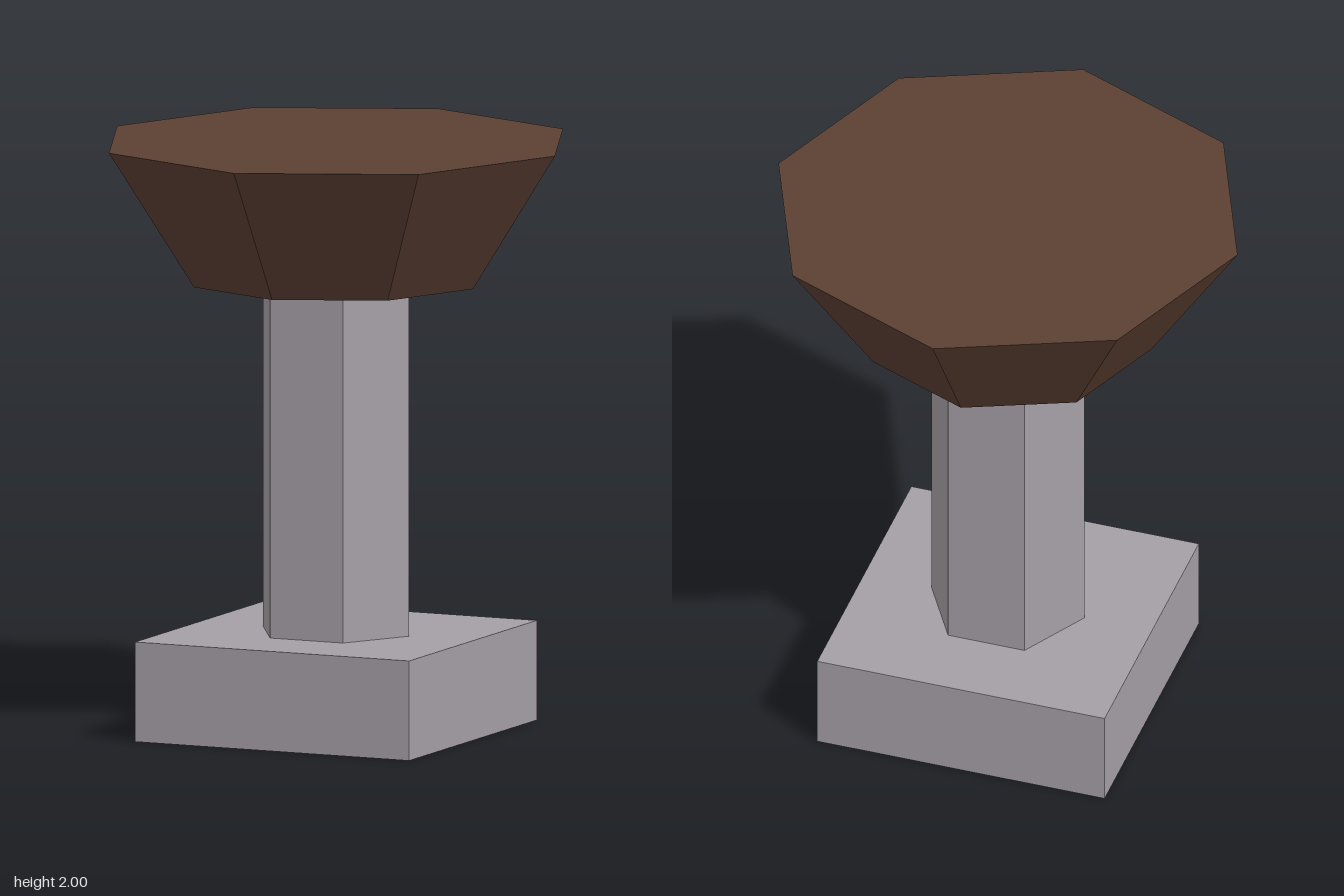
import * as THREE from 'three';

export function createModel() {
  const model = new THREE.Group();
  model.name = 'pedestalTable';

  const stone = new THREE.MeshStandardMaterial({ color: 0xa59fa6, flatShading: true });
  stone.name = 'grey stone';
  const wood = new THREE.MeshStandardMaterial({ color: 0x5c4033, flatShading: true });
  wood.name = 'dark brown wood';

  // Adds a part standing between two heights
  const add = (name, geometry, material, bottom, top) => {
    const mesh = new THREE.Mesh(geometry, material);
    mesh.name = name;
    mesh.position.y = (bottom + top) / 2;
    model.add(mesh);
  };

  const baseTop = 0.338, columnTop = 1.53, height = 2;

  // Square plinth
  add('base', new THREE.BoxGeometry(1.014, baseTop, 1.014), stone, 0, baseTop);

  // Six-sided column with corners on the x axis
  add('column',
    new THREE.CylinderGeometry(0.27, 0.27, columnTop - baseTop, 6, 1, false, Math.PI / 2),
    stone, baseTop, columnTop);

  // Eight-sided flared top
  add('flaredTop',
    new THREE.CylinderGeometry(0.81, 0.507, height - columnTop, 8),
    wood, columnTop, height);

  return model;
}
